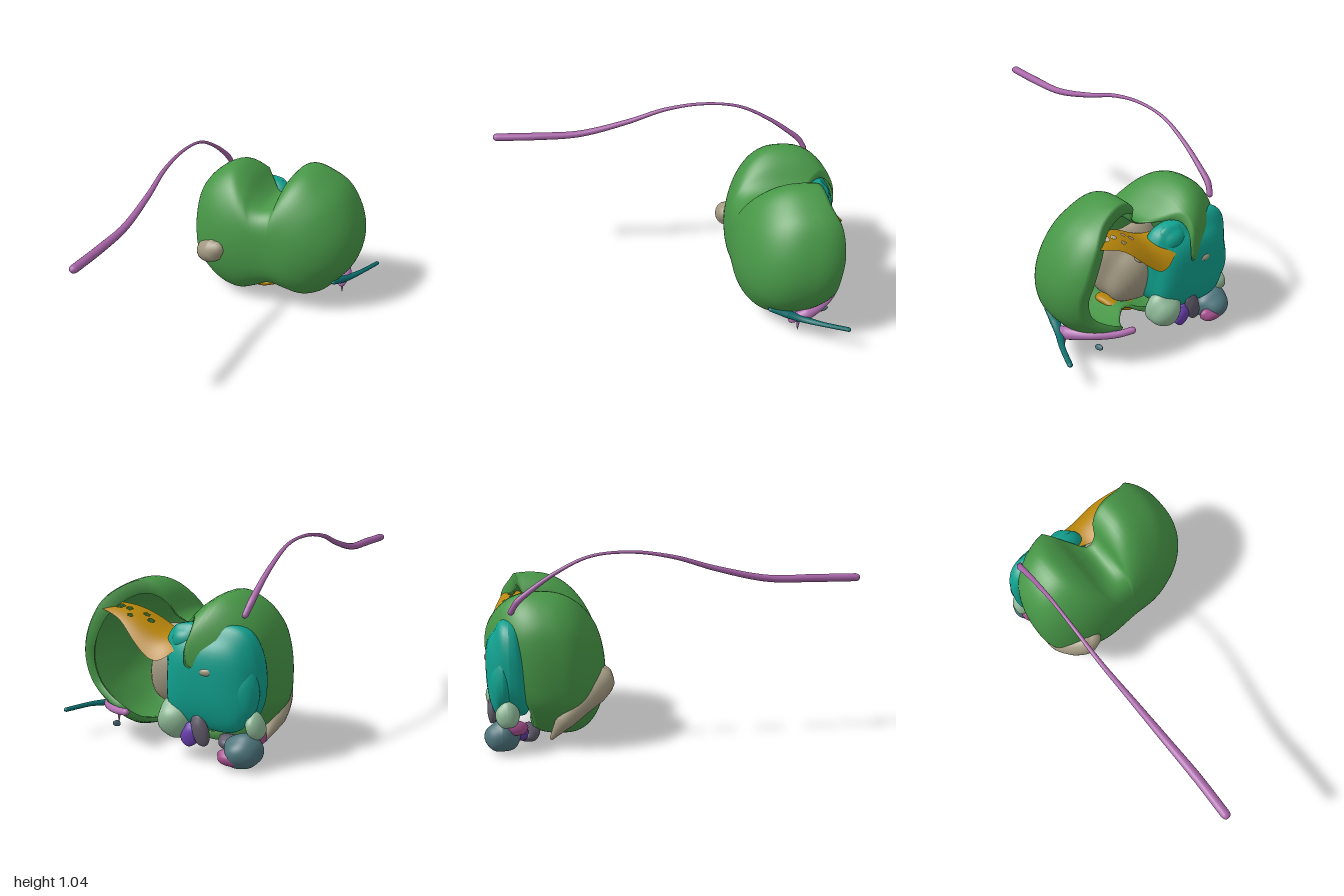
import * as THREE from 'three';

const V = (a) => new THREE.Vector3(...a);
const mat = (color) => new THREE.MeshStandardMaterial({ color, side: THREE.DoubleSide });

function add(parent, name, geo, color) {
  const mesh = new THREE.Mesh(geo, mat(color));
  mesh.name = name;
  parent.add(mesh);
}

function gridGeometry(pos, rows, cols) {
  const index = [];
  for (let i = 0; i < rows - 1; i++) for (let k = 0; k < cols; k++) {
    const a = i * cols + k, c = i * cols + (k + 1) % cols, b = a + cols, d = c + cols;
    index.push(a, c, b, c, d, b);
  }
  const geo = new THREE.BufferGeometry();
  geo.setAttribute('position', new THREE.Float32BufferAttribute(pos, 3));
  geo.setIndex(index);
  geo.computeVertexNormals();
  return geo;
}

// Two-lobed hollow cup: the outline is scaled along a rounded profile, then back along the inside
function cupGeometry() {
  // x, y of the widest outline and how far (degrees) the wall wraps to the back
  const outline = [
    [-.06, .64, 94], [0, .68, 93], [.03, .77, 96], [.09, .83, 98], [.16, .845, 99], [.28, .80, 103],
    [.38, .73, 113], [.47, .58, 119], [.50, .43, 119], [.47, .28, 122], [.39, .17, 130], [.30, .09, 136],
    [.2, .06, 130], [.1, .088, 112], [0, .125, 100], [-.1, .07, 108], [-.22, .025, 112], [-.33, .045, 112],
    [-.44, .12, 112], [-.53, .24, 116], [-.555, .38, 130], [-.55, .55, 149], [-.52, .66, 157], [-.44, .76, 157],
    [-.32, .815, 146], [-.22, .77, 122], [-.13, .68, 105]];
  const curve = new THREE.CatmullRomCurve3(outline.map(([x, y, d]) => V([x, y, d / 1000])), true);
  const cols = 120, steps = 36, pos = [];
  const ring = curve.getSpacedPoints(cols).slice(0, cols);
  const cx = -.03, cy = .4;
  const pw = (v) => Math.sign(v) * Math.abs(v) ** .8;
  const put = (t, inner) => ring.forEach((p) => {
    const phi = t * p.z * 1000 * Math.PI / 180;
    const r = pw(Math.sin(phi)) * (inner ? .9 : 1), c = pw(Math.cos(phi));
    const front = Math.max(c, 0);
    const a = Math.atan2(p.y - cy, p.x - cx);
    // the notches fade out towards the front
    const x = cx + r * THREE.MathUtils.lerp(.5 * Math.cos(a), p.x - cx, r * r);
    const y = cy + r * THREE.MathUtils.lerp(.35 * Math.sin(a), p.y - cy, r * r);
    const groove = .016 * Math.exp(-(((x + .02) / .16) ** 2)) * front;
    // the top and the left lobe lean backwards, less so at the front
    const lean = (.15 * (y - cy) + .1 * x) * (1 - .55 * front);
    pos.push(x, y, -.66 + c * (c > 0 ? (inner ? .26 : .325) : .345) - groove - lean);
  });
  for (let i = 0; i <= steps; i++) put(i / steps, false);
  for (let i = steps; i >= 0; i--) put(i / steps, true);
  return gridGeometry(pos, 2 * (steps + 1), cols);
}

// Tube of varying radius with rounded ends; flat squashes it vertically
function taperTube(points, radii, flat = 1, steps = 64, cols = 16) {
  const curve = new THREE.CatmullRomCurve3(points.map(V));
  const frames = curve.computeFrenetFrames(steps);
  const pos = [];
  const ring = (i, s, shift) => {
    const f = i / steps * (radii.length - 1), j = Math.min(Math.floor(f), radii.length - 2);
    const r = THREE.MathUtils.lerp(radii[j], radii[j + 1], f - j);
    const c = curve.getPoint(i / steps).addScaledVector(frames.tangents[i], shift * r);
    for (let k = 0; k < cols; k++) {
      const a = -k / cols * Math.PI * 2;
      const o = new THREE.Vector3().addScaledVector(frames.normals[i], Math.cos(a) * r * s)
        .addScaledVector(frames.binormals[i], Math.sin(a) * r * s);
      pos.push(c.x + o.x, c.y + o.y * flat, c.z + o.z);
    }
  };
  const caps = [0, .4, .8, 1.2];
  caps.forEach((a) => ring(0, Math.sin(a), -Math.cos(a)));
  for (let i = 0; i <= steps; i++) ring(i, 1, 0);
  [...caps].reverse().forEach((a) => ring(steps, Math.sin(a), Math.cos(a)));
  return gridGeometry(pos, steps + 1 + 2 * caps.length, cols);
}

// Slightly lumpy ellipsoid; power below 1 makes it boxier
function blob(parent, name, color, at, size, { rot = [0, 0, 0], lump = .04, power = 1 } = {}) {
  const geo = new THREE.SphereGeometry(1, 40, 28);
  const p = geo.attributes.position, v = new THREE.Vector3();
  const pw = (n) => Math.sign(n) * Math.abs(n) ** power;
  for (let i = 0; i < p.count; i++) {
    v.fromBufferAttribute(p, i);
    const k = 1 + lump * (Math.sin(4 * v.x + 1) * Math.cos(3 * v.y) + Math.sin(5 * v.z + 2 * v.y));
    p.setXYZ(i, pw(v.x) * k * size[0], pw(v.y) * k * size[1], pw(v.z) * k * size[2]);
  }
  geo.computeVertexNormals();
  geo.rotateX(rot[0]).rotateZ(rot[2]).translate(...at);
  add(parent, name, geo, color);
}

// Thin perforated sheet between a rear and a front edge, sagging in the notch and at the back
function sheetGeometry() {
  const edge = (pts) => new THREE.CatmullRomCurve3(pts.map(([x, z]) => V([x, 0, z])));
  const rear = edge([[-.32, -.86], [-.2, -.91], [-.03, -.97], [.1, -.96], [.22, -.92], [.35, -.89]]);
  const fore = edge([[-.32, -.82], [-.2, -.82], [-.04, -.76], [.05, -.74], [.18, -.77], [.33, -.81]]);
  const holes = [[.3, -.85, .016], [.25, -.84, .02], [.2, -.84, .015], [.12, -.81, .014], [.08, -.83, .014], [.17, -.88, .011]];
  const nu = 90, nv = 30;
  const geo = new THREE.PlaneGeometry(1, 1, nu, nv);
  const p = geo.attributes.position;
  for (let i = 0; i < p.count; i++) {
    const u = p.getX(i) + .5;
    const q = rear.getPoint(u).lerp(fore.getPoint(u), .5 - p.getY(i));
    const back = Math.max(0, (-q.z - .72) / .25);
    p.setXYZ(i, q.x, .72 - .11 * back ** 4 - .12 * Math.exp(-(((q.x + .05) / .18) ** 2)), q.z);
  }
  const open = (i) => holes.some(([x, z, r]) => Math.hypot(p.getX(i) - x, p.getZ(i) - z) < r);
  const old = geo.index.array, index = [];
  for (let i = 0; i < old.length; i += 3) if (!open(old[i])) index.push(old[i], old[i + 1], old[i + 2]);
  geo.setIndex(index);
  geo.computeVertexNormals();
  return geo;
}

export function createModel() {
  const g = new THREE.Group();
  g.name = 'cell';

  add(g, 'greenCup', cupGeometry(), 0x479647);

  // Long whip arching forward over the body
  add(g, 'flagellum', taperTube(
    [[-.44, .87, .975], [-.435, .87, .75], [-.44, .875, .5], [-.455, .935, .22], [-.47, 1, 0], [-.47, 1.03, -.22],
      [-.465, 1.01, -.43], [-.46, .93, -.6], [-.455, .84, -.73], [-.452, .78, -.8], [-.44, .73, -.83]],
    [.025, .025, .021, .015, .011, .009, .012, .015, .018, .016], .85, 120), 0xa764a7);

  // Tan body lining the cup, with a crescent breaking through the front
  blob(g, 'innerBody', 0xa39a82, [-.02, .4, -.69], [.2, .22, .14], { lump: .08 });
  add(g, 'frontCrescent', taperTube(
    [[-.295, .375, -.375], [-.335, .345, -.355], [-.41, .295, -.42], [-.465, .23, -.5], [-.475, .16, -.57], [-.45, .06, -.64]],
    [.035, .068, .078, .06, .05, .012]), 0xa39a82);

  // Large vacuole filling the rear opening
  blob(g, 'vacuole', 0x10a08e, [-.275, .415, -.845], [.265, .265, .12], { lump: .05, power: .75 });
  blob(g, 'vacuoleTop', 0x10a08e, [-.15, .59, -.87], [.09, .08, .06], { lump: .06 });
  blob(g, 'vacuoleShoulder', 0x10a08e, [-.45, .37, -.88], [.085, .14, .06]);

  // Amber membrane at the top and bottom of the cup
  add(g, 'upperMembrane', sheetGeometry(), 0xb8860b);
  blob(g, 'lowerMembrane', 0xb8860b, [-.04, .1, -.59], [.13, .035, .1], { rot: [0, 0, .35] });

  // Small bodies clustered at the lower rear: name, color, position, size, rotation
  const cluster = [
    ['paleVesicle', 0x8db896, [-.1, .2, -.9], [.1, .1, .085], [0, 0, .3]],
    ['paleVesicle', 0x8db896, [-.51, .21, -.86], [.045, .07, .06], [0, 0, -.3]],
    ['slateVesicle', 0x4c737b, [-.46, .085, -.89], [.1, .085, .09], [0, 0, -.3]],
    ['slateVesicle', 0x4c737b, [.29, .09, -.86], [.013, .016, .03], [.4, 0, 0]],
    ['greyLeaf', 0x5c5766, [-.26, .17, -.95], [.045, .08, .025], [0, 0, -.3]],
    ['greyVesicle', 0x5c5766, [-.34, .06, -.76], [.09, .04, .06], [0, 0, .1]],
    ['purpleLeaf', 0x6a3fae, [-.2, .14, -.94], [.05, .065, .025], [0, 0, .5]],
    ['purpleVesicle', 0x5f3a9c, [-.41, .08, -.8], [.05, .04, .04], [0, 0, 0]],
    ['magentaVesicle', 0xa44f8c, [-.42, .06, -.94], [.075, .04, .04], [0, 0, 0]],
    ['magentaVesicle', 0xa44f8c, [-.51, .14, -.82], [.03, .04, .06], [0, 0, 0]],
    ['tanGrain', 0xa39a82, [-.3, .47, -.965], [.035, .02, .015], [0, 0, 0]],
    ['tanGrain', 0xa39a82, [.06, .56, -.88], [.035, .035, .03], [0, 0, 0]],
  ];
  for (const [name, color, at, size, rot] of cluster) blob(g, name, color, at, size, { rot });

  // Strands trailing around the lower side
  add(g, 'pinkStrand', taperTube(
    [[.4, .12, -.66], [.4, .155, -.74], [.34, .18, -.85], [.24, .19, -.93], [.16, .2, -.96]],
    [.022, .035, .024, .018, .018]), 0xb070b0);
  add(g, 'pinkSpike', taperTube([[.4, .14, -.7], [.392, .09, -.7], [.393, .035, -.7]], [.03, .01, .002]), 0xb070b0);
  add(g, 'tealStrand', taperTube(
    [[.385, .185, -.54], [.4, .16, -.63], [.43, .145, -.71], [.49, .15, -.82], [.54, .15, -.95]],
    [.015, .026, .022, .015, .014], .8), 0x0b6a6a);

  return g;
}
